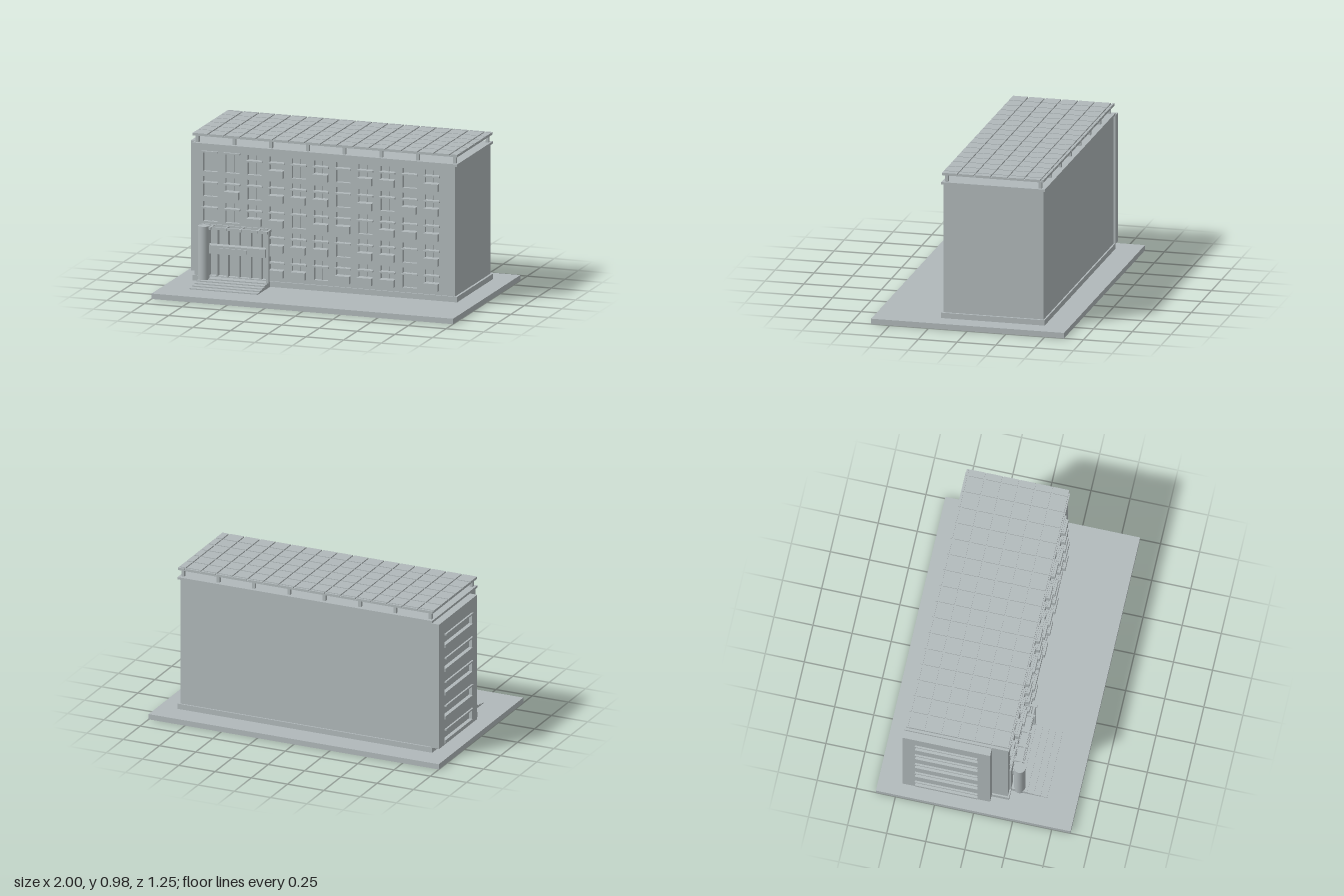
import * as THREE from 'three';

export function createModel() {
  const model = new THREE.Group();
  const stone = new THREE.MeshStandardMaterial({ color: 0xb0b8ba });
  stone.name = 'paleGrey';

  function add(name, geometry, parent = model) {
    const mesh = new THREE.Mesh(geometry, stone);
    mesh.name = name;
    parent.add(mesh);
    return mesh;
  }
  // Box given by its limits on each axis
  function box(name, x0, x1, y0, y1, z0, z1, parent = model) {
    const g = new THREE.BoxGeometry(x1 - x0, y1 - y0, z1 - z0);
    g.translate((x0 + x1) / 2, (y0 + y1) / 2, (z0 + z1) / 2);
    return add(name, g, parent);
  }
  function group(name) {
    const g = new THREE.Group();
    g.name = name;
    model.add(g);
    return g;
  }
  // Flat wall with rectangular openings; rectangles are [x0, x1, y0, y1]
  function wall(rect, openings, depth) {
    const trace = (p, [x0, x1, y0, y1]) => {
      p.moveTo(x0, y0);
      p.lineTo(x1, y0);
      p.lineTo(x1, y1);
      p.lineTo(x0, y1);
      p.closePath();
      return p;
    };
    const shape = trace(new THREE.Shape(), rect);
    for (const o of openings) shape.holes.push(trace(new THREE.Path(), o));
    return new THREE.ExtrudeGeometry(shape, { depth, bevelEnabled: false });
  }

  // Ground slab, plinth and main block
  box('groundSlab', -1, 1, 0, 0.035, -0.625, 0.62);
  box('plinth', -0.88, 0.875, 0.035, 0.07, -0.467, 0.2);
  box('mainBlock', -0.87, 0.86, 0.07, 0.905, -0.457, 0.165);
  box('cornice', -0.88, 0.875, 0.905, 0.92, -0.468, 0.2);

  // Front windows: ledge across each, planter boxes on some
  const boxed = [
    [3, 4, 6, 7, 8, 10],
    [3, 4, 5, 7, 8, 10],
    [2, 3, 5, 6, 8, 9, 10],
    [1, 3, 4, 5, 7, 9, 10],
    [3, 5, 7, 8, 10],
  ];
  const windows = group('frontWindows');
  const openings = [];
  for (let row = 0; row < 5; row++) {
    const y = 0.1 + row * 0.16;
    for (let col = row < 2 ? 3 : 0; col < 11; col++) {
      const x = -0.765 + col * 0.147;
      openings.push([x - 0.047, x + 0.047, y, y + 0.128]);
      const plain = col < 2 && row === 4;
      const ledge = y + (plain ? 0.122 : 0.083);
      box('windowLedge', x - 0.053, x + 0.053, ledge, ledge + 0.01, 0.165, 0.205, windows);
      box('windowPost', x - 0.004, x + 0.004, y, y + 0.128, 0.165, 0.172, windows);
      if (boxed[row].includes(col))
        box('planterBox', x - 0.048, x + 0.048, y - 0.003, y + 0.044, 0.165, 0.217, windows);
    }
  }
  const door = [-0.77, -0.39, 0.075, 0.385];
  openings.push(door);
  add('frontWall', wall([-0.87, 0.86, 0.07, 0.905], openings, 0.025)).position.z = 0.165;

  // Side wing with long strip windows and ledges
  box('sideWing', -0.91, -0.87, 0.07, 0.905, -0.47, 0.09);
  const strips = [];
  for (let i = 0; i < 5; i++) {
    const y = 0.17 + i * 0.16;
    strips.push([-0.39, 0.01, y - 0.09, y + 0.005]);
    box('sideLedge', -0.942, -0.91, y - 0.005, y + 0.005, -0.39, 0.01);
    box('sideSill', -0.936, -0.91, y - 0.09, y - 0.07, -0.39, 0.01);
  }
  const sideWall = add('sideWall', wall([-0.47, 0.09, 0.07, 0.905], strips, 0.02));
  sideWall.rotation.y = -Math.PI / 2;
  sideWall.position.x = -0.91;

  // Raised roof deck on posts, covered with square panels
  const roof = group('roofDeck');
  for (let i = 0; i < 8; i++) {
    const x = -0.855 + i * 0.2436;
    for (const z of [0.17, -0.433])
      box('roofPost', x - 0.01, x + 0.01, 0.92, 0.966, z - 0.01, z + 0.01, roof);
  }
  box('deckSlab', -0.88, 0.875, 0.965, 0.973, -0.46, 0.195, roof);
  const step = 0.107, gap = 0.01;
  for (let x = -0.88; x < 0.87; x += step)
    for (let z = 0.195; z > -0.45; z -= step)
      box('roofPanel', x, Math.min(x + step - gap, 0.875), 0.973, 0.981,
        Math.max(z - step + gap, -0.46), z, roof);

  // Entrance: surround, glazing bars, canopy beams and sign
  const entrance = group('entrance');
  add('doorSurround', wall([-0.82, -0.382, 0.07, 0.405], [door], 0.01), entrance).position.z = 0.19;
  for (const x of [-0.72, -0.65, -0.575, -0.5, -0.43])
    box('doorPost', x - 0.006, x + 0.006, 0.07, 0.39, 0.165, 0.195, entrance);
  box('doorRail', -0.77, -0.39, 0.215, 0.23, 0.165, 0.195, entrance);
  box('fasciaBand', -0.775, -0.38, 0.23, 0.283, 0.2, 0.25, entrance);
  box('blankPlaque', -0.68, -0.5, 0.245, 0.27, 0.25, 0.257, entrance);
  box('canopyBeam', -0.78, -0.355, 0.385, 0.402, 0.243, 0.255, entrance);
  for (const x of [-0.74, -0.64, -0.54, -0.43, -0.365])
    box('canopyRafter', x - 0.006, x + 0.006, 0.385, 0.402, 0.19, 0.268, entrance);
  box('canopyPost', -0.371, -0.355, 0.07, 0.39, 0.235, 0.255, entrance);
  const column = new THREE.CylinderGeometry(0.036, 0.036, 0.37, 40);
  column.translate(-0.787, 0.22, 0.248);
  add('roundColumn', column, entrance);

  // Entrance steps
  for (let i = 0; i < 5; i++)
    box('step', -0.815, -0.365, 0.03, 0.042 + i * 0.007, 0.19, 0.43 - i * 0.0425, entrance);

  return model;
}
